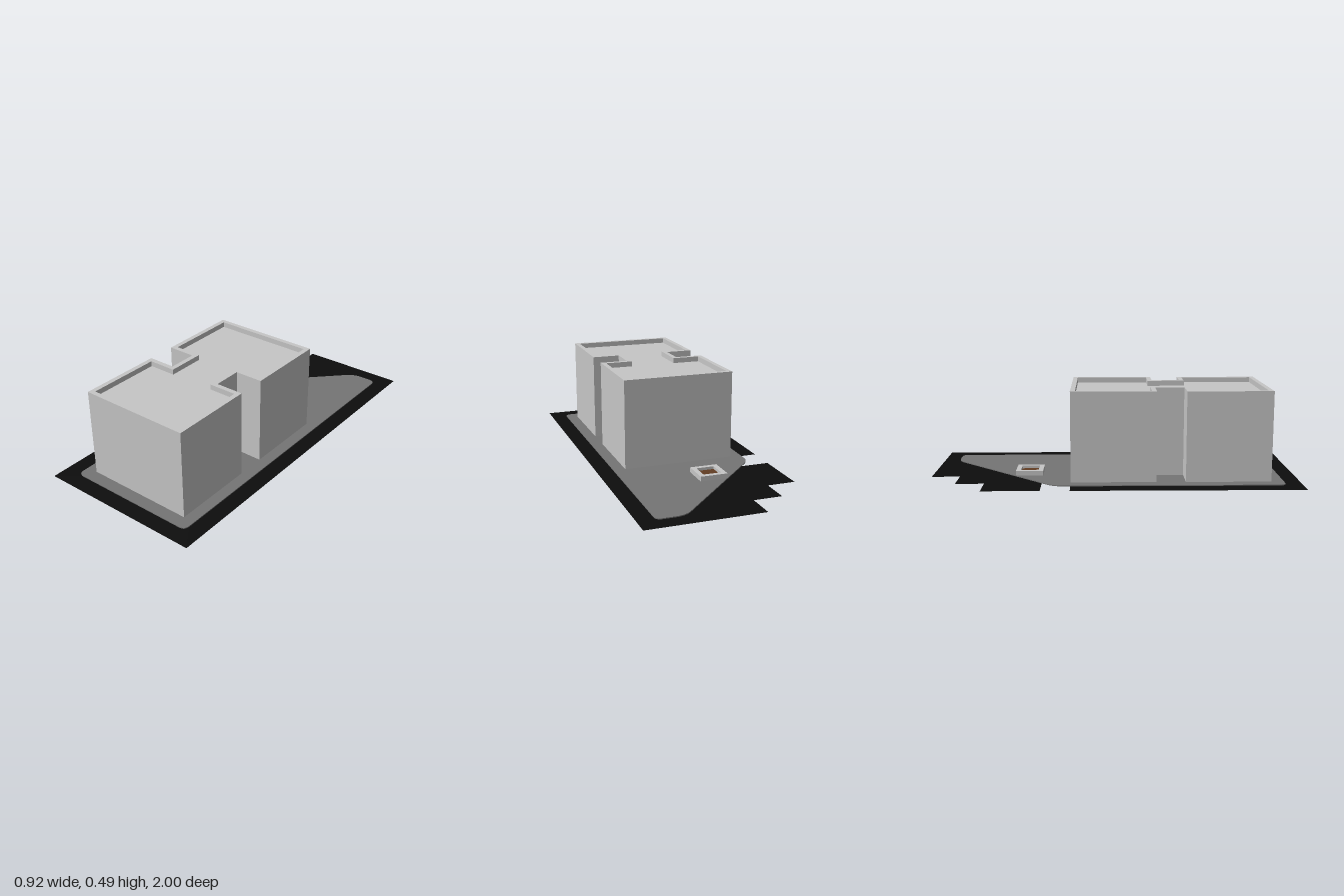
import * as THREE from 'three';

const paint = (name, color) => {
  const m = new THREE.MeshStandardMaterial({ color, side: THREE.DoubleSide });
  m.name = name;
  return m;
};

// Outlines are lists of [x, z] points.
const toShape = (pts) => new THREE.Shape(pts.map(([x, z]) => new THREE.Vector2(x, -z)));

// Horizontal plate or slab with optional holes, its underside at height y.
function slab(name, material, pts, y, height = 0, holes = []) {
  const shape = toShape(pts);
  shape.holes = holes.map(toShape);
  const geo = height
    ? new THREE.ExtrudeGeometry(shape, { depth: height, bevelEnabled: false })
    : new THREE.ShapeGeometry(shape);
  geo.rotateX(-Math.PI / 2).translate(0, y, 0);
  const mesh = new THREE.Mesh(geo, material);
  mesh.name = name;
  return mesh;
}

// Upright wall sheet running round a closed outline.
function wallBand(name, material, pts, y0, y1) {
  const pos = [];
  pts.forEach(([ax, az], i) => {
    const [bx, bz] = pts[(i + 1) % pts.length];
    pos.push(ax, y0, az, bx, y1, bz, bx, y0, bz, ax, y0, az, ax, y1, az, bx, y1, bz);
  });
  const geo = new THREE.BufferGeometry();
  geo.setAttribute('position', new THREE.Float32BufferAttribute(pos, 3));
  geo.computeVertexNormals();
  const mesh = new THREE.Mesh(geo, material);
  mesh.name = name;
  return mesh;
}

// Rounds one corner p between neighbours a and b.
function roundCorner(a, p, b, r) {
  const toward = (q) => {
    const d = Math.hypot(q[0] - p[0], q[1] - p[1]);
    return new THREE.Vector2(p[0] + ((q[0] - p[0]) * r) / d, p[1] + ((q[1] - p[1]) * r) / d);
  };
  return new THREE.QuadraticBezierCurve(toward(a), new THREE.Vector2(...p), toward(b))
    .getPoints(6).map((v) => [v.x, v.y]);
}

// H-shaped building footprint, shrunk inward by t.
function footprint(t) {
  const w = 0.307 - t, n = 0.153 - t;
  const back = -0.231 + t, n0 = 0.226 - t, n1 = 0.384 + t, front = 0.842 - t;
  return [[-w, back], [-w, n0], [-n, n0], [-n, n1], [-w, n1], [-w, front],
    [w, front], [w, n1], [n, n1], [n, n0], [w, n0], [w, back]];
}

const rect = (cx, cz, h) => [[cx - h, cz - h], [cx - h, cz + h], [cx + h, cz + h], [cx + h, cz - h]];

export function createModel() {
  const model = new THREE.Group();
  const concrete = paint('light concrete', 0xc6c6c6);
  const paving = paint('grey paving', 0x757575);
  const asphalt = paint('black asphalt', 0x0d0d0d);
  const soil = paint('brown soil', 0x613d23);

  // Paved lot with rounded corners and a diagonal side, open under the building
  const corners = [[-0.37, -0.32], [0.22, -0.912], [0.37, -0.912], [0.37, 0.91], [-0.37, 0.91]];
  const rounded = corners.map((p, i) =>
    roundCorner(corners[(i + 4) % 5], p, corners[(i + 1) % 5], i < 2 ? 0.05 : 0.035));
  model.add(slab('pavedLot', paving, rounded.flat(), 0, 0.005, [footprint(0)]));

  // Road surface wrapping round the lot, stepped at the back and open at one tile
  const road = [[-0.46, -0.231], [-0.46, 1], [0.46, 1], [0.46, -1], [-0.154, -1],
    [-0.154, -0.846], [-0.308, -0.846], [-0.308, -0.692], [-0.46, -0.692],
    [-0.46, -0.385], [-0.305, -0.385], ...rounded.slice(1).flat(), [-0.37, -0.231]];
  model.add(slab('road', asphalt, road, 0));

  // Hollow building with a parapet round a sunken roof
  const top = 0.493, roofY = 0.464, rim = 0.026;
  const building = new THREE.Group();
  building.name = 'building';
  building.add(
    wallBand('outerWalls', concrete, footprint(0), 0, top),
    slab('parapetTop', concrete, footprint(0), top, 0, [footprint(rim)]),
    wallBand('parapetInside', concrete, footprint(rim), roofY, top),
    slab('roof', concrete, footprint(rim), roofY),
  );
  model.add(building);

  // Square planter with soil
  const planter = new THREE.Group();
  planter.name = 'planter';
  planter.add(
    slab('planterKerb', concrete, rect(-0.078, -0.463, 0.075), 0.005, 0.026, [rect(-0.078, -0.463, 0.049)]),
    slab('planterSoil', soil, rect(-0.078, -0.463, 0.049), 0.016),
  );
  model.add(planter);

  return model;
}
